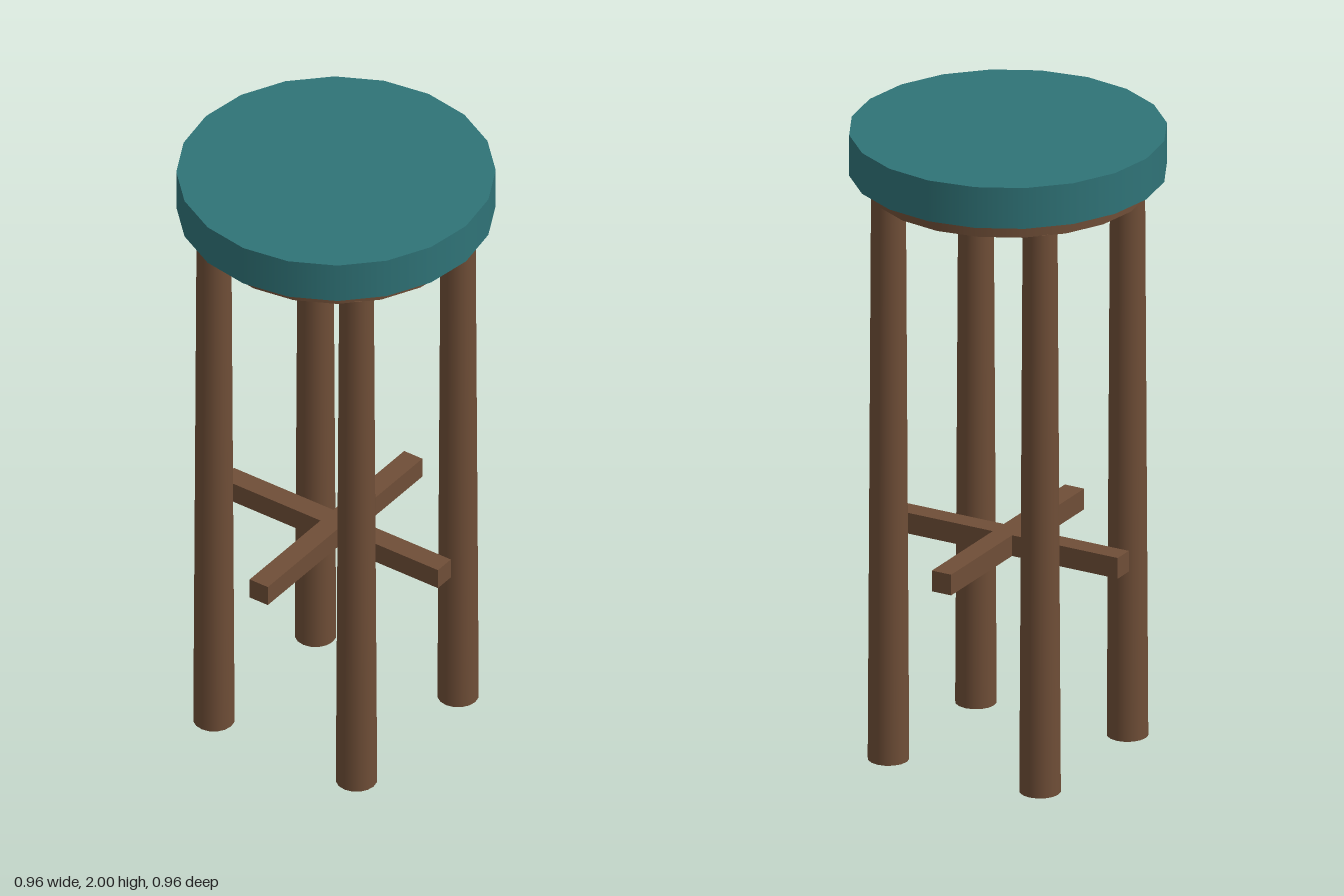
import * as THREE from 'three';

export function createModel() {
  const stool = new THREE.Group();
  stool.name = 'stool';

  const teal = new THREE.MeshStandardMaterial({ color: 0x2f7377 });
  teal.name = 'teal cushion';
  const wood = new THREE.MeshStandardMaterial({ color: 0x6f4e37 });
  wood.name = 'brown wood';

  const add = (name, geometry, material, x, y, z) => {
    const mesh = new THREE.Mesh(geometry, material);
    mesh.name = name;
    mesh.position.set(x, y, z);
    stool.add(mesh);
  };

  // Round cushion on a smaller wooden disc
  add('cushion', new THREE.CylinderGeometry(0.48, 0.48, 0.132, 20), teal, 0, 1.934, 0);
  add('seatBase', new THREE.CylinderGeometry(0.427, 0.427, 0.05, 20), wood, 0, 1.843, 0);

  // Four upright legs, slightly thicker at the foot
  const legGeometry = new THREE.CylinderGeometry(0.053, 0.063, 1.82, 16);
  for (const x of [-1, 1]) {
    for (const z of [-1, 1]) {
      const name = (z > 0 ? 'front' : 'back') + (x > 0 ? 'Left' : 'Right') + 'Leg';
      add(name, legGeometry, wood, x * 0.263, 0.91, z * 0.263);
    }
  }

  // Crossed footrest bars
  add('sideToSideBar', new THREE.BoxGeometry(0.8, 0.067, 0.067), wood, 0, 0.668, 0);
  add('frontToBackBar', new THREE.BoxGeometry(0.067, 0.067, 0.8), wood, 0, 0.668, 0);

  return stool;
}
